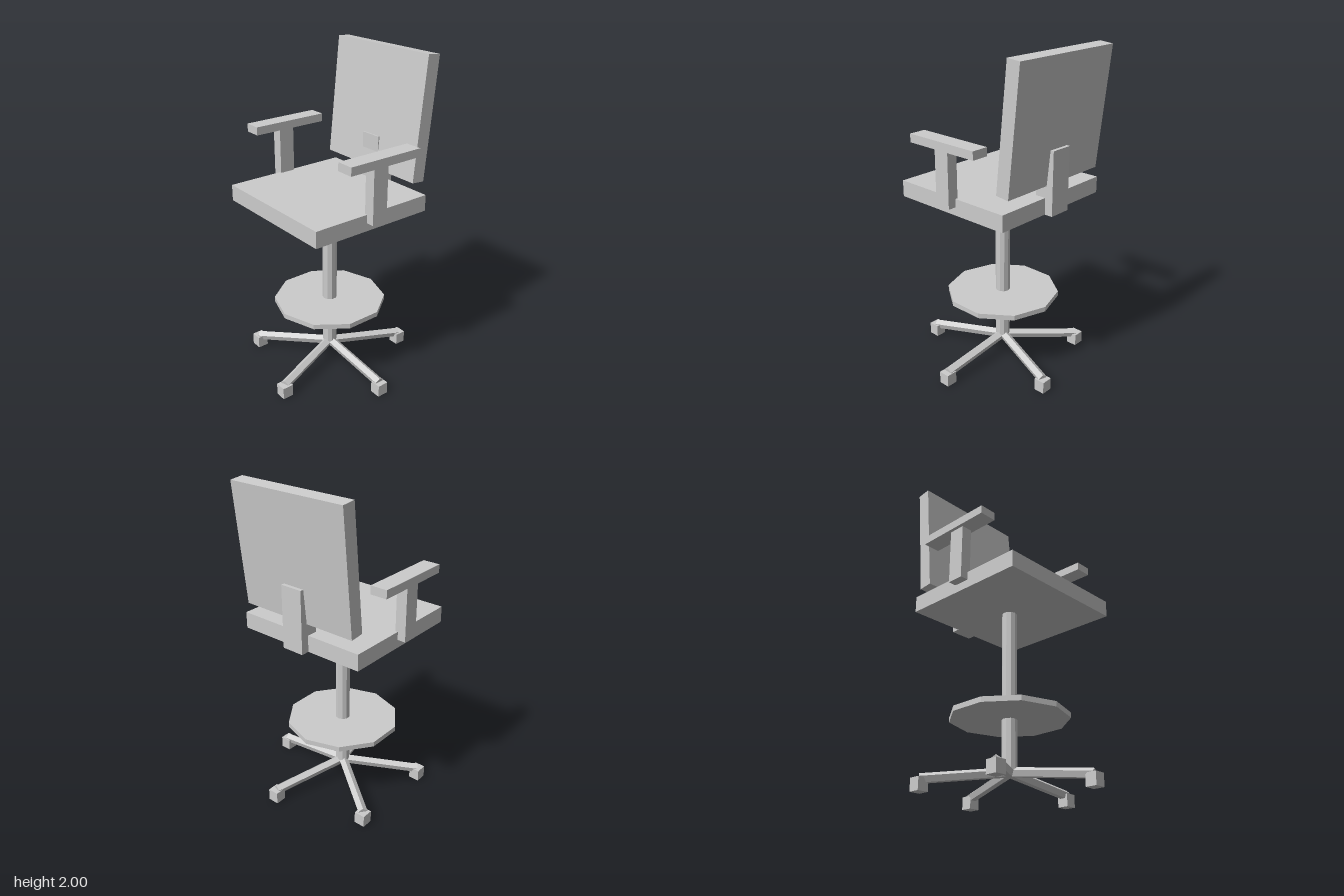
import * as THREE from 'three';

export function createModel() {
  const chair = new THREE.Group();
  chair.name = 'draftingChair';
  chair.position.x = -0.02; // the column axis sits slightly off the overall centre

  const grey = new THREE.MeshStandardMaterial({ color: 0xcccccc, flatShading: true });
  grey.name = 'lightGrey';

  const add = (name, geometry, x, y, z) => {
    const mesh = new THREE.Mesh(geometry, grey);
    mesh.name = name;
    mesh.position.set(x, y, z);
    chair.add(mesh);
    return mesh;
  };
  const box = (name, w, h, d, x, y, z) => add(name, new THREE.BoxGeometry(w, h, d), x, y, z);

  // Seat, leaning backrest and the bracket that pierces it
  box('seat', 0.84, 0.1, 0.804, 0, 1.14, 0.018);
  box('backrest', 0.77, 0.733, 0.086, 0, 1.631, -0.386).rotation.x = -0.1;
  box('backBracket', 0.14, 0.38, 0.118, 0, 1.28, -0.376);

  // Armrests
  for (const [side, s] of [['left', 1], ['right', -1]]) {
    box(side + 'ArmPost', 0.067, 0.336, 0.1, s * 0.437, 1.308, 0.02);
    box(side + 'ArmPad', 0.105, 0.05, 0.49, s * 0.438, 1.5, 0.001);
  }

  // Column and foot plate
  add('column', new THREE.CylinderGeometry(0.045, 0.045, 0.965, 10), 0, 0.6075, 0);
  add('footPlate', new THREE.CylinderGeometry(0.35, 0.35, 0.031, 10), 0, 0.44, 0);

  // Five-star base: sloping ridged legs with square feet
  const reach = 0.49, drop = 0.055;
  const leg = new THREE.CylinderGeometry(0.03, 0.03, Math.hypot(reach, drop), 5);
  leg.rotateZ(-Math.PI / 2);
  leg.rotateX(-Math.PI / 2); // one ridge faces up
  leg.rotateZ(-Math.atan2(drop, reach));
  leg.translate(reach / 2, 0, 0);
  for (let i = 0; i < 5; i++) {
    const a = (i * Math.PI * 2) / 5;
    add('baseLeg' + (i + 1), leg, 0, 0.125 - drop / 2, 0).rotation.y = a;
    box('foot' + (i + 1), 0.069, 0.075, 0.069, reach * Math.cos(a), 0.0375, -reach * Math.sin(a));
  }

  const model = new THREE.Group();
  model.name = 'chairModel';
  model.add(chair);
  return model;
}
